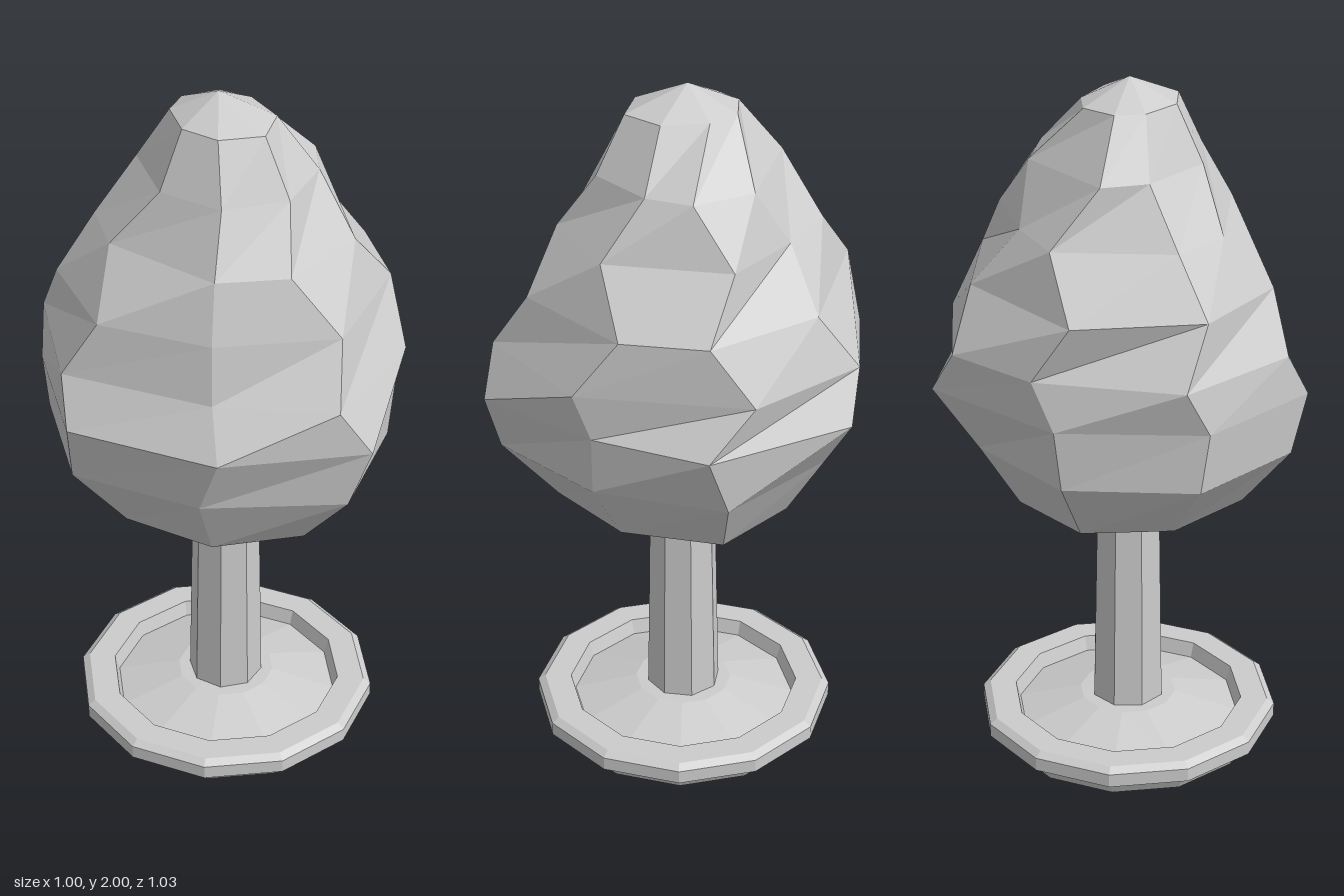
import * as THREE from 'three';

const stone = new THREE.MeshStandardMaterial({ color: 0xcccccc, flatShading: true });
stone.name = 'plain grey';

// Crown cross-sections: height, then x, z of eight corners from the front round to the left
const crownRings = [
  [0.81, [0.02, 0.375, 0.26, 0.29, 0.34, 0.03, 0.25, -0.24, 0, -0.295, -0.24, -0.21, -0.325, 0.03, -0.23, 0.28]],
  [1.0, [0, 0.465, 0.385, 0.39, 0.46, 0.04, 0.36, -0.32, 0, -0.41, -0.33, -0.3, -0.49, 0.03, -0.36, 0.36]],
  [1.17, [0.055, 0.515, 0.445, 0.395, 0.475, 0.03, 0.425, -0.3, 0.06, -0.52, -0.33, -0.32, -0.5, 0.05, -0.36, 0.405]],
  [1.3, [0.03, 0.43, 0.36, 0.42, 0.5, 0.07, 0.31, -0.37, -0.03, -0.49, -0.275, -0.36, -0.505, -0.02, -0.385, 0.33]],
  [1.46, [0.025, 0.4, 0.35, 0.31, 0.445, -0.04, 0.355, -0.26, 0.05, -0.405, -0.345, -0.28, -0.445, 0.065, -0.285, 0.33]],
  [1.62, [0.025, 0.35, 0.215, 0.3, 0.355, 0.07, 0.225, -0.255, -0.01, -0.285, -0.2, -0.275, -0.345, 0.025, -0.275, 0.185]],
  [1.78, [0.03, 0.26, 0.195, 0.185, 0.25, 0, 0.225, -0.13, 0.075, -0.225, -0.215, -0.14, -0.235, -0.01, -0.14, 0.185]],
  [1.935, [0.01, 0.18, 0.125, 0.14, 0.14, 0.02, 0.06, -0.08, -0.03, -0.11, -0.12, -0.06, -0.14, 0.02, -0.09, 0.13]],
];

// Skins the cross-sections and closes both ends with a fan
function loft(rings, bottom, top) {
  const sides = 8, pos = [], index = [];
  for (const [y, xz] of rings)
    for (let j = 0; j < sides; j++) pos.push(xz[2 * j], y, xz[2 * j + 1]);
  const low = pos.length / 3, high = low + 1, last = low - sides;
  pos.push(...bottom, ...top);
  for (let j = 0; j < sides; j++) {
    const k = (j + 1) % sides;
    for (let i = 0; i < last; i += sides)
      index.push(i + j, i + k, i + sides + k, i + j, i + sides + k, i + sides + j);
    index.push(low, k, j, high, last + j, last + k);
  }
  const geometry = new THREE.BufferGeometry();
  geometry.setAttribute('position', new THREE.Float32BufferAttribute(pos, 3));
  geometry.setIndex(index);
  geometry.computeVertexNormals();
  return geometry;
}

function lathe(points, sides) {
  return new THREE.LatheGeometry(points.map(([r, y]) => new THREE.Vector2(r, y)), sides);
}

export function createModel() {
  const model = new THREE.Group();
  model.name = 'pottedTree';
  const add = (name, geometry, x = 0, y = 0, z = 0) => {
    const mesh = new THREE.Mesh(geometry, stone);
    mesh.name = name;
    mesh.position.set(x, y, z);
    model.add(mesh);
  };

  // Faceted foliage
  add('crown', loft(crownRings, [0.01, 0.765, 0.035], [-0.01, 2, 0.03]));

  // Slightly tapering trunk
  add('trunk', new THREE.CylinderGeometry(0.094, 0.108, 0.72, 8), 0.01, 0.43, 0.037);

  // Shallow dish with a projecting rim
  add('dish', lathe([[0, 0], [0.37, 0], [0.402, 0.06], [0.433, 0.06], [0.433, 0.1],
    [0.412, 0.115], [0.335, 0.115], [0.32, 0.065]], 12), 0.01, 0, 0.037);

  // Soil mounded around the trunk
  add('soil', lathe([[0.325, 0.07], [0.14, 0.122], [0, 0.125]], 12), 0.01, 0, 0.037);
  return model;
}
